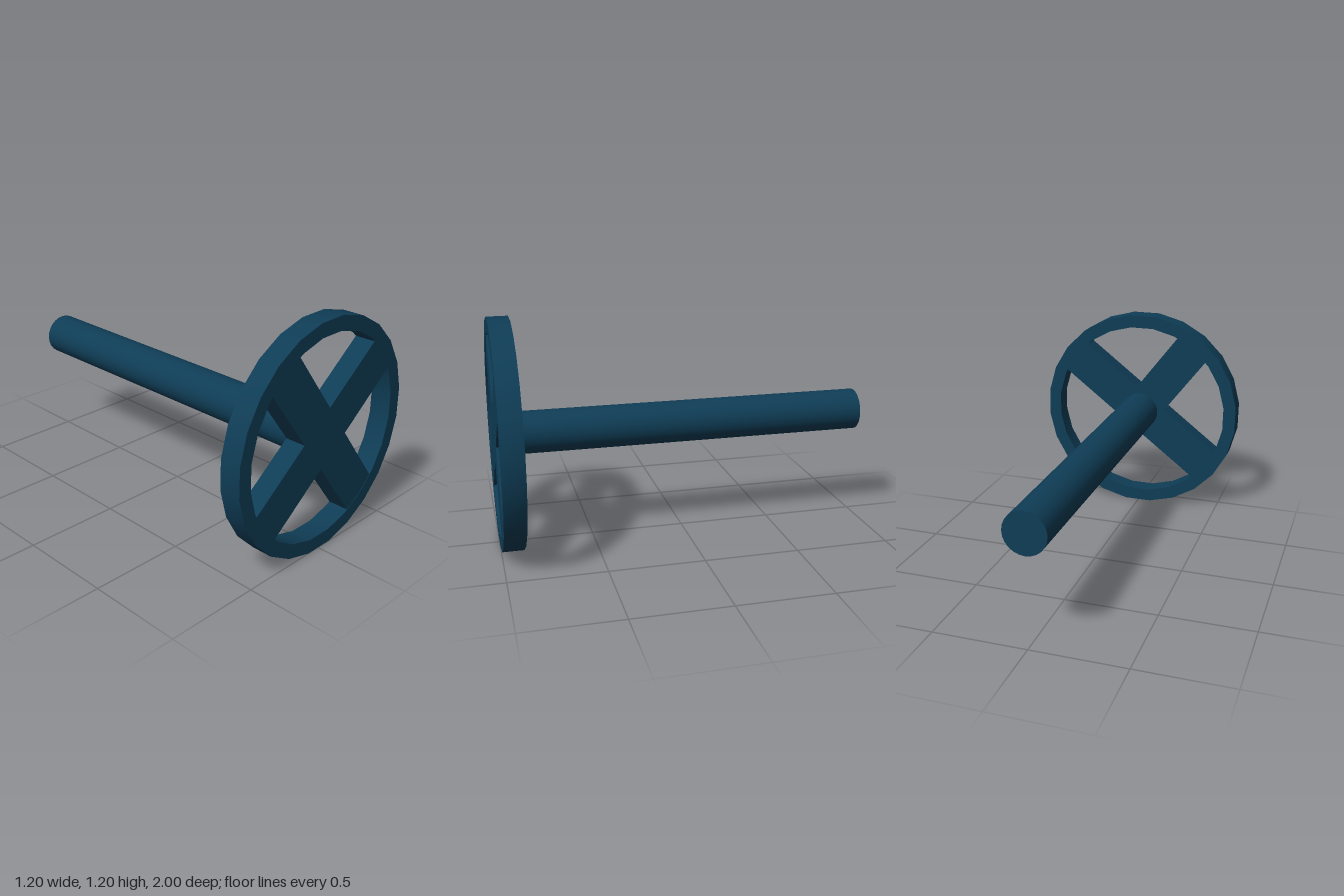
import * as THREE from 'three';
import { toCreasedNormals } from 'three/addons/utils/BufferGeometryUtils.js';

const CENTER_Y = 0.6;
const RIM_OUTER = 0.605, RIM_INNER = 0.53;
const BACK = 0.888, FRONT = 1;
const HALF_SPOKE = 0.111;

export function createModel() {
  const group = new THREE.Group();
  const material = new THREE.MeshStandardMaterial({ color: 0x0f3d56 });
  const add = (name, geometry) => {
    const mesh = new THREE.Mesh(geometry, material);
    mesh.name = name;
    mesh.position.y = CENTER_Y;
    group.add(mesh);
  };

  // Rim: rectangular section revolved in 24 steps, axis turned to z
  const section = [
    [RIM_OUTER, BACK], [RIM_OUTER, FRONT], [RIM_INNER, FRONT], [RIM_INNER, BACK], [RIM_OUTER, BACK],
  ].map(([r, z]) => new THREE.Vector2(r, z));
  const rim = new THREE.LatheGeometry(section, 24)
    .rotateX(Math.PI / 2)
    .rotateZ(THREE.MathUtils.degToRad(7.8));
  add('rim', toCreasedNormals(rim, 0.5));

  // Spokes: a single cross whose four arms end inside the rim
  const reach = 0.56;
  const outline = [];
  for (let i = 0; i < 4; i++) {
    const turn = THREE.MathUtils.degToRad(37.4 + i * 90);
    for (const [x, y] of [[reach, -HALF_SPOKE], [reach, HALF_SPOKE], [HALF_SPOKE, HALF_SPOKE]]) {
      outline.push(new THREE.Vector2(x, y).rotateAround(new THREE.Vector2(), turn));
    }
  }
  const inset = 0.002;
  const spokes = new THREE.ExtrudeGeometry(new THREE.Shape(outline), {
    depth: FRONT - BACK - 2 * inset, bevelEnabled: false,
  });
  add('spokes', spokes.translate(0, 0, BACK + inset));

  // Shaft: long rod running back from the hub
  const shaftFront = 0.94;
  const shaft = new THREE.CylinderGeometry(0.112, 0.112, shaftFront + 1, 24)
    .rotateX(Math.PI / 2)
    .translate(0, 0, (shaftFront - 1) / 2);
  add('shaft', shaft);

  return group;
}
